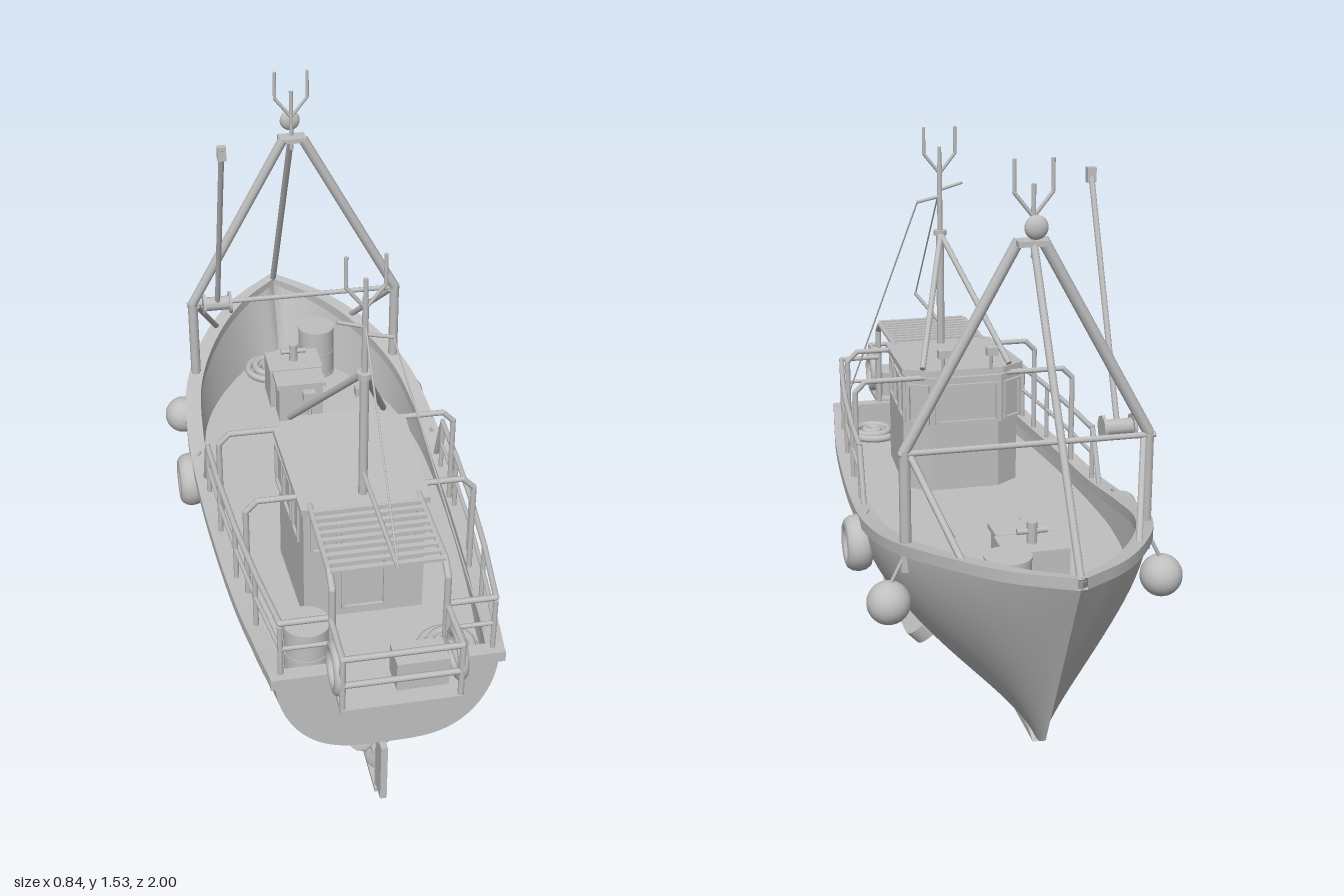
import * as THREE from 'three';
import { toCreasedNormals } from 'three/addons/utils/BufferGeometryUtils.js';

const paint = new THREE.MeshStandardMaterial({ color: 0xbfbfbf, side: THREE.DoubleSide });
paint.name = 'grey paint';
const DECK = 0.428;

// hull stations by -z of the sheer: keel z, keel y, sheer y, half width, fullness
const stations = new THREE.CubicInterpolant(
  [-0.84, -0.77, -0.71, -0.675, -0.65, -0.62, -0.5, -0.25, 0, 0.25, 0.5, 0.75, 0.9, 1],
  [0.84, 0.245, 0.5, 0.285, 0.29, 0.77, 0.228, 0.495, 0.296, 0.37, 0.71, 0.198, 0.49, 0.304, 0.6,
    0.675, 0.145, 0.488, 0.308, 1, 0.655, 0.07, 0.486, 0.312, 1.6, 0.64, 0.018, 0.484, 0.316, 1.95,
    0.5, 0.02, 0.48, 0.33, 1.6, 0.25, 0.024, 0.48, 0.35, 1.05, 0, 0.028, 0.485, 0.362, 0.85,
    -0.22, 0.031, 0.515, 0.365, 0.86, -0.43, 0.034, 0.56, 0.335, 0.95, -0.58, 0.036, 0.605, 0.23, 1.05,
    -0.66, 0.045, 0.625, 0.12, 1.1, -0.72, 0.08, 0.64, 0, 1.2], 5);

// point on the left side of the hull, t = 0 at the keel and 1 at the sheer
function hullPoint(u, t) {
  const [zk, yk, ys, w, p] = stations.evaluate(u);
  const x = Math.max(0, w) * Math.pow(Math.sin(t * Math.PI / 2), p);
  return [x, yk + (ys - yk) * t, zk + (-u - zk) * t];
}
function deckPoint(u) {
  const [, yk, ys] = stations.evaluate(u);
  const [x, y, z] = hullPoint(u, (DECK - yk) / (ys - yk));
  return [Math.max(0, x - 0.024), y, z];
}
const along = (f) => -0.84 + 1.84 * f;

function grid(nu, nv, fn) {
  const pos = [], idx = [];
  for (let i = 0; i <= nu; i++) for (let j = 0; j <= nv; j++) pos.push(...fn(i / nu, j / nv));
  for (let i = 0; i < nu; i++) for (let j = 0; j < nv; j++) {
    const a = i * (nv + 1) + j, b = a + nv + 1;
    idx.push(a, b, a + 1, b, b + 1, a + 1);
  }
  const g = new THREE.BufferGeometry();
  g.setAttribute('position', new THREE.Float32BufferAttribute(pos, 3));
  g.setIndex(idx);
  g.computeVertexNormals();
  return g;
}

export function createModel() {
  const boat = new THREE.Group();
  boat.name = 'fishingBoat';
  const add = (name, geo, x = 0, y = 0, z = 0) => {
    const m = new THREE.Mesh(geo, paint);
    m.name = name;
    m.position.set(x, y, z);
    boat.add(m);
    return m;
  };
  const box = (name, w, h, d, x, y, z) => add(name, new THREE.BoxGeometry(w, h, d), x, y, z);
  const drum = (name, r, h, x, y, z) => add(name, new THREE.CylinderGeometry(r, r, h, 24), x, y, z);
  // round bar through straight points
  const bar = (name, r, ...pts) => {
    const v = pts.map((p) => new THREE.Vector3(...p));
    for (let i = 1; i < v.length; i++) {
      const d = v[i].clone().sub(v[i - 1]);
      const m = add(name, new THREE.CylinderGeometry(r, r, d.length(), 8));
      m.position.copy(v[i]).add(v[i - 1]).multiplyScalar(0.5);
      m.quaternion.setFromUnitVectors(new THREE.Vector3(0, 1, 0), d.normalize());
      if (i > 1) add(name + 'Joint', new THREE.SphereGeometry(r, 8, 6), ...pts[i - 1]);
    }
  };
  // thin window or door frame
  const frame = (name, w, h, x, y, z, ry) => {
    const rect = (a, b) => [[-a, -b], [a, -b], [a, b], [-a, b]].map(([px, py]) => new THREE.Vector2(px, py));
    const s = new THREE.Shape(rect(w / 2, h / 2));
    s.holes.push(new THREE.Path(rect(w / 2 - 0.008, h / 2 - 0.008)));
    add(name, new THREE.ExtrudeGeometry(s, { depth: 0.008, bevelEnabled: false }), x, y, z).rotation.y = ry;
  };

  // hull shell, transom, deck
  add('hull', grid(160, 56, (f, g) => {
    const v = g * 2 - 1, p = hullPoint(along(f), Math.pow(Math.abs(v), 1.6));
    return [Math.sign(v) * p[0], p[1], p[2]];
  }));
  add('transom', grid(12, 28, (f, g) => {
    const p = hullPoint(-0.84, Math.pow(g, 1.6));
    return [(f * 2 - 1) * p[0], p[1], p[2]];
  }));
  add('deck', grid(80, 2, (f, g) => {
    const p = deckPoint(along(f));
    return [(1 - g * 2) * p[0], p[1], p[2]];
  }));
  for (const s of [-1, 1]) {
    add('bulwark', grid(80, 3, (f, g) => {
      const u = along(f), p = deckPoint(u), q = hullPoint(u, 1);
      const top = [Math.max(0, q[0] - 0.028), q[1], q[2]];
      const [x, y, z] = p.map((c, i) => c + (top[i] - c) * g);
      return [s * x, y, z];
    }));
    const ring = [[0.012, -0.018], [0.012, 0.012], [-0.035, 0.012], [-0.035, -0.018], [0.012, -0.018]];
    add('gunwale', toCreasedNormals(grid(72, 4, (f, g) => {
      const q = hullPoint(along(f), 1), [dx, dy] = ring[Math.round(g * 4)];
      return [s * Math.max(0, q[0] + dx), q[1] + dy, q[2]];
    }), 0.7));
  }
  box('sternGunwale', 0.594, 0.03, 0.04, 0, 0.497, 0.835);
  box('sternBulwark', 0.53, 0.08, 0.012, 0, 0.462, 0.826);

  // keel, heel, rudder and propeller
  const keel = new THREE.Shape();
  keel.moveTo(0.645, 0.008).lineTo(-0.64, 0.032).lineTo(-0.6, 0.05).lineTo(0.3, 0.045).lineTo(0.6, 0.12).lineTo(0.665, 0.12);
  add('keel', new THREE.ExtrudeGeometry(keel, { depth: 0.022, bevelEnabled: false }), 0.011).rotation.y = -Math.PI / 2;
  box('heel', 0.024, 0.012, 0.17, 0, 0.006, 0.69);
  box('rudder', 0.018, 0.18, 0.06, 0, 0.115, 0.795);
  bar('rudderPost', 0.01, [0, 0.005, 0.76], [0, 0.25, 0.76]);
  bar('propellerShaft', 0.012, [0, 0.1, 0.62], [0, 0.1, 0.735]);
  for (let i = 0; i < 3; i++) {
    const a = Math.PI * (1 / 6 + i * 2 / 3);
    const blade = add('propellerBlade', new THREE.SphereGeometry(1, 12, 8), Math.cos(a) * 0.045, 0.105 + Math.sin(a) * 0.045, 0.71);
    blade.scale.set(0.038, 0.026, 0.005);
    blade.rotation.set(0, 0, a);
    blade.rotateX(0.5);
  }

  for (const s of [-1, 1]) {
    // bilge fins
    const fin = new THREE.Shape();
    fin.moveTo(0.26, 0.05).lineTo(0.22, -0.03).quadraticCurveTo(0.2, -0.05, 0.16, -0.05);
    fin.lineTo(-0.18, -0.05).quadraticCurveTo(-0.22, -0.05, -0.23, 0).lineTo(-0.23, 0.05);
    const fg = new THREE.ExtrudeGeometry(fin, { depth: 0.044, bevelEnabled: false });
    fg.translate(0, 0, -0.022).rotateY(-Math.PI / 2);
    add('bilgeFin', fg, s * 0.205, 0.172, 0).rotation.set(0.02, 0, s * 0.8);

    // fenders
    const tyre = add('tyreFender', new THREE.TorusGeometry(0.055, 0.024, 12, 32), s * 0.383, 0.43, -0.155);
    tyre.rotation.y = Math.PI / 2;
    tyre.scale.z = 1.5;
    bar('tyreRope', 0.005, [s * 0.385, 0.48, -0.155], [s * 0.35, 0.525, -0.155]);
    add('ballFender', new THREE.SphereGeometry(0.057, 24, 16), s * 0.365, 0.42, -0.535);
    bar('ballRope', 0.005, [s * 0.36, 0.47, -0.535], [s * 0.31, 0.57, -0.535]);

    // side and stern railings
    const railX = (z) => s * (stations.evaluate(-z)[3] - 0.018);
    const zs = [0.83, 0.62, 0.41, 0.2, 0.01];
    const run = (y0, y1) => zs.map((z, i) => [railX(z), y0 + (y1 - y0) * i / 4, z]);
    bar('topRail', 0.008, [s * 0.145, 0.67, 0.83], ...run(0.67, 0.65), [railX(-0.055), 0.5, -0.055]);
    bar('midRail', 0.006, [s * 0.145, 0.59, 0.83], ...run(0.59, 0.575));
    for (const z of zs) bar('railPost', 0.007, [railX(z), 0.48, z], [railX(z), 0.66, z]);

    // forward gallows legs and braces
    bar('gallowsLeg', 0.015, [s * 0.318, 0.5, -0.53], [s * 0.318, 0.82, -0.53], [s * 0.03, 1.335, -0.53]);
    bar('gallowsBrace', 0.009, [s * 0.305, 0.81, -0.53], [s * 0.215, 0.59, -0.77]);

    // canopy side bars, mast stays, roof lamps
    bar('canopyBar', 0.009, [s * 0.142, 0.5, 0.84], [s * 0.142, 0.76, 0.84], [s * 0.142, 0.79, 0.8], [s * 0.142, 0.79, 0.53]);
    bar('mastStay', 0.009, [0, 1.145, 0.5], [s * 0.13, 0.82, 0.16]);
    bar('lampStalk', 0.005, [s * 0.072, 0.81, 0.15], [s * 0.072, 0.87, 0.14]);
    box('roofLamp', 0.034, 0.024, 0.024, s * 0.072, 0.868, 0.137);

    // wheelhouse windows
    for (const [z, w] of [[0.46, 0.07], [0.355, 0.09], [0.25, 0.09]])
      frame('sideWindow', w, 0.12, s * (0.1735 - (z - 0.2) * 0.044), 0.71, z, s * (Math.PI / 2 - 0.044));
    frame('cornerWindow', 0.07, 0.12, s * 0.14, 0.71, 0.173, s * 2.54);
    frame('sternWindow', 0.075, 0.13, s * 0.105, 0.71, 0.54, 0);

    // life rings on the stern cage
    add('lifeRing', new THREE.TorusGeometry(0.054, 0.014, 12, 32), s * 0.15, 0.595, 0.925).rotation.y = Math.PI / 2;
  }

  // wheelhouse with a set-back lower front, and roof
  const plan = (k, front) => new THREE.Shape([[-0.16, -0.54], [0.16, -0.54], [0.174, -front - 0.05], [0.105, -front], [-0.105, -front], [-0.174, -front - 0.05]]
    .map(([x, y]) => new THREE.Vector2(x * k, (y + 0.35) * k - 0.35)));
  const slab = (k, front, h) => new THREE.ExtrudeGeometry(plan(k, front), { depth: h, bevelEnabled: false }).rotateX(-Math.PI / 2);
  add('wheelhouseBase', slab(1, 0.19, 0.222), 0, DECK, 0);
  add('wheelhouse', slab(1, 0.15, 0.145), 0, 0.645, 0);
  add('wheelhouseRoof', slab(1.05, 0.15, 0.018), 0, 0.803, 0.008).rotation.x = 0.05;
  frame('frontWindow', 0.19, 0.12, 0, 0.71, 0.15, Math.PI);
  frame('wheelhouseDoor', 0.12, 0.32, 0, 0.61, 0.54, 0);

  // canopy hoops and slats
  for (const [z, x] of [[0.49, 0.3], [0.17, 0.328]])
    bar('canopyHoop', 0.008, [-x, 0.5, z], [-x, 0.76, z], [-x + 0.03, 0.79, z], [x - 0.03, 0.79, z], [x, 0.76, z], [x, 0.5, z]);
  for (let i = 0; i < 9; i++) box('canopySlat', 0.28, 0.008, 0.014, 0, 0.795, 0.57 + i * 0.03);

  // stern platform cage
  box('platform', 0.3, 0.014, 0.16, 0, 0.512, 0.915);
  for (const y of [0.59, 0.67]) bar('cageRail', 0.008, [-0.145, y, 0.84], [-0.145, y, 0.985], [0.145, y, 0.985], [0.145, y, 0.84]);
  for (const x of [-0.145, 0.145]) for (const z of [0.85, 0.985]) bar('cagePost', 0.008, [x, 0.51, z], [x, 0.67, z]);
  box('sternLocker', 0.13, 0.08, 0.08, 0.06, 0.56, 0.91);

  // antenna fork shared by both masts
  const fork = (y, z) => {
    bar('antenna', 0.006, [0, y - 0.1, z], [0, y + 0.08, z]);
    for (const s of [-1, 1]) bar('antennaFork', 0.005, [0, y, z], [s * 0.048, y + 0.06, z], [s * 0.048, y + 0.14, z]);
  };

  // aft mast with spar and wires
  bar('aftMast', 0.012, [0, DECK, 0.51], [0, 1.15, 0.51]);
  bar('aftTopmast', 0.008, [0, 1.15, 0.51], [0, 1.36, 0.51]);
  drum('mastCollar', 0.02, 0.015, 0, 1.148, 0.51);
  fork(1.33, 0.51);
  bar('yard', 0.005, [0, 1.28, 0.51], [-0.07, 1.3, 0.51]);
  bar('yard', 0.005, [0, 1.26, 0.51], [0.07, 1.245, 0.51]);
  bar('spar', 0.006, [0, 0.86, 0.51], [0, 0.86, 0.91]);
  bar('wire', 0.0025, [0, 1.285, 0.51], [0, 0.86, 0.91]);
  bar('wire', 0.0025, [0.07, 1.245, 0.51], [0.25, 0.55, 0.82]);

  // gallows head, crossbar and forestay
  bar('gallowsCrossbar', 0.008, [-0.335, 0.815, -0.535], [0.335, 0.815, -0.535]);
  box('gallowsHead', 0.08, 0.014, 0.05, 0, 1.332, -0.545);
  bar('forestay', 0.01, [0, 1.33, -0.56], [0, 0.64, -0.985]);
  fork(1.395, -0.553);
  add('mastLamp', new THREE.SphereGeometry(0.03, 16, 12), 0, 1.375, -0.58).scale.z = 0.6;

  // derrick and winch
  bar('derrick', 0.008, [-0.245, 0.82, -0.5], [-0.245, 1.45, -0.225]);
  add('derrickBlock', new THREE.BoxGeometry(0.024, 0.04, 0.02), -0.245, 1.435, -0.23);
  bar('winchDrum', 0.022, [-0.285, 0.83, -0.5], [-0.205, 0.83, -0.5]);
  for (const x of [-0.285, -0.205]) bar('winchFlange', 0.034, [x - 0.004, 0.83, -0.5], [x + 0.004, 0.83, -0.5]);

  // deck gear
  const coil = (x, z, r) => {
    for (let i = 0; i < 4; i++)
      add('ropeCoil', new THREE.TorusGeometry(r - i * 0.016, 0.012, 8, 24), x + (i % 2) * 0.008, DECK + 0.012 + (i % 2) * 0.01, z).rotation.x = Math.PI / 2;
  };
  const barrel = (x, z) => {
    drum('barrel', 0.058, 0.17, x, DECK + 0.085, z);
    for (const h of [0.006, 0.085, 0.166]) drum('barrelHoop', 0.06, 0.008, x, DECK + h, z);
  };
  barrel(0.1, -0.715);
  barrel(-0.19, 0.75);
  coil(-0.05, -0.735, 0.075);
  coil(0.18, 0.73, 0.07);
  box('hatch', 0.17, 0.135, 0.12, 0, DECK + 0.0675, -0.57);
  box('crate', 0.14, 0.12, 0.075, 0, DECK + 0.06, -0.46);
  box('crateLid', 0.155, 0.014, 0.09, 0, DECK + 0.127, -0.46);
  bar('bollard', 0.014, [0, 0.55, -0.57], [0, 0.62, -0.57]);
  bar('bollardPin', 0.008, [-0.04, 0.595, -0.57], [0.04, 0.595, -0.57]);
  for (const x of [-0.1, 0.11]) box('deckSeam', 0.005, 0.006, 0.1, x, DECK, -0.13);
  return boat;
}
